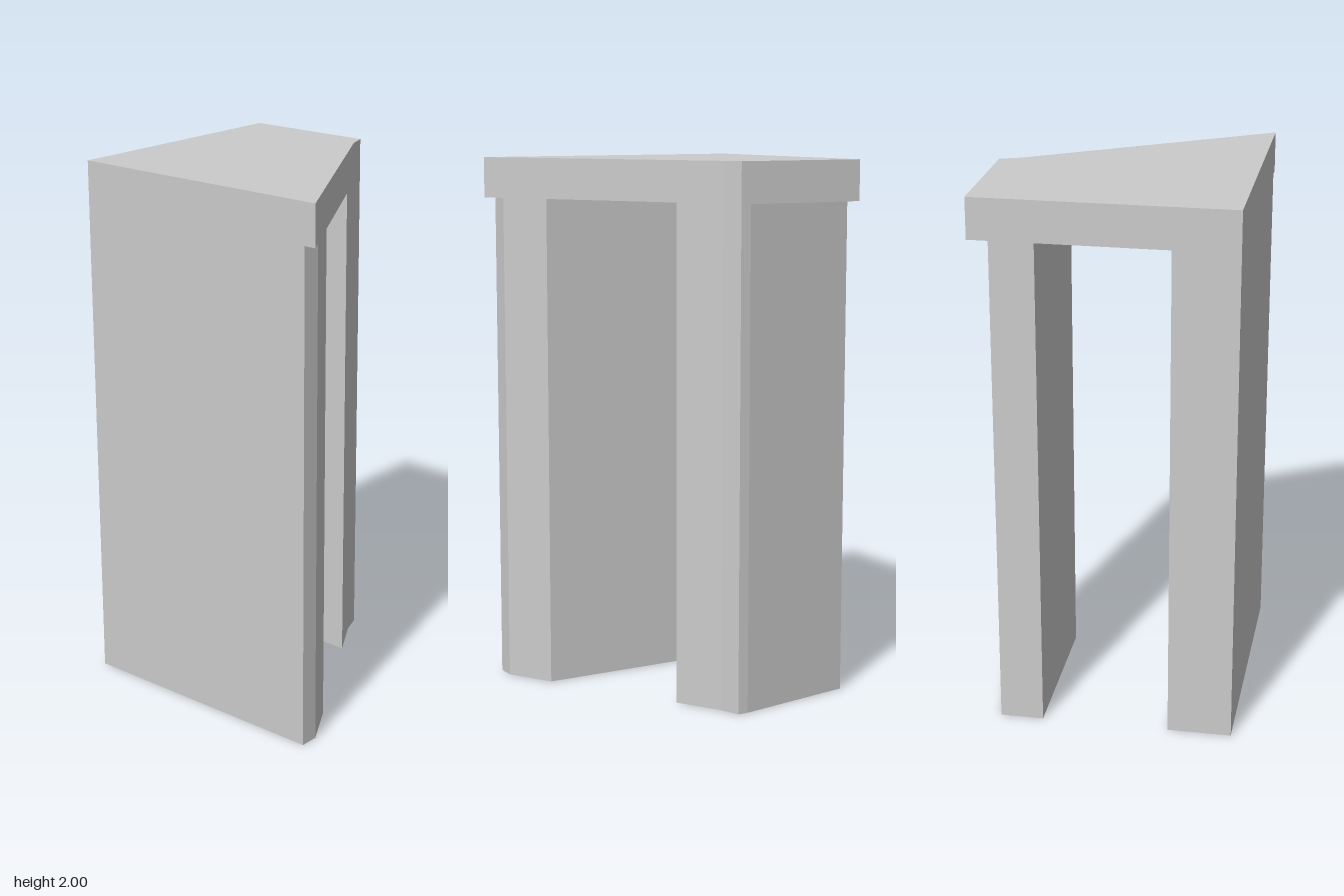
import * as THREE from 'three';

const material = new THREE.MeshStandardMaterial({ color: 0xcccccc, flatShading: true });

// Upright prism from a plan outline of [x, z] corners, between two heights
function prism(name, outline, bottom, top) {
  const shape = new THREE.Shape(outline.map(([x, z]) => new THREE.Vector2(x, -z)));
  const geometry = new THREE.ExtrudeGeometry(shape, { depth: top - bottom, bevelEnabled: false });
  geometry.rotateX(-Math.PI / 2);
  geometry.translate(0, bottom, 0);
  const mesh = new THREE.Mesh(geometry, material);
  mesh.name = name;
  return mesh;
}

export function createModel() {
  const group = new THREE.Group();
  group.name = 'angledPortal';
  const back = -0.528, side = 0.47, slabBottom = 1.85;

  // Top slab with a slanted front edge
  group.add(prism('topSlab', [
    [-side, back], [side, back], [side, -0.025], [0.395, 0.003], [-side, 0.528],
  ], slabBottom, 2));

  // Long wall, its front corner cut square
  group.add(prism('rightWall', [
    [-side, back], [-0.235, back], [-0.235, 0.385], [-0.4, 0.483], [-side, 0.483],
  ], 0, slabBottom));

  // Short wall, its outer face tapering in towards the back
  group.add(prism('leftWall', [
    [0.235, back], [0.394, back], [side, -0.065], [side, -0.025], [0.395, 0.003], [0.235, 0.1],
  ], 0, slabBottom));

  return group;
}
